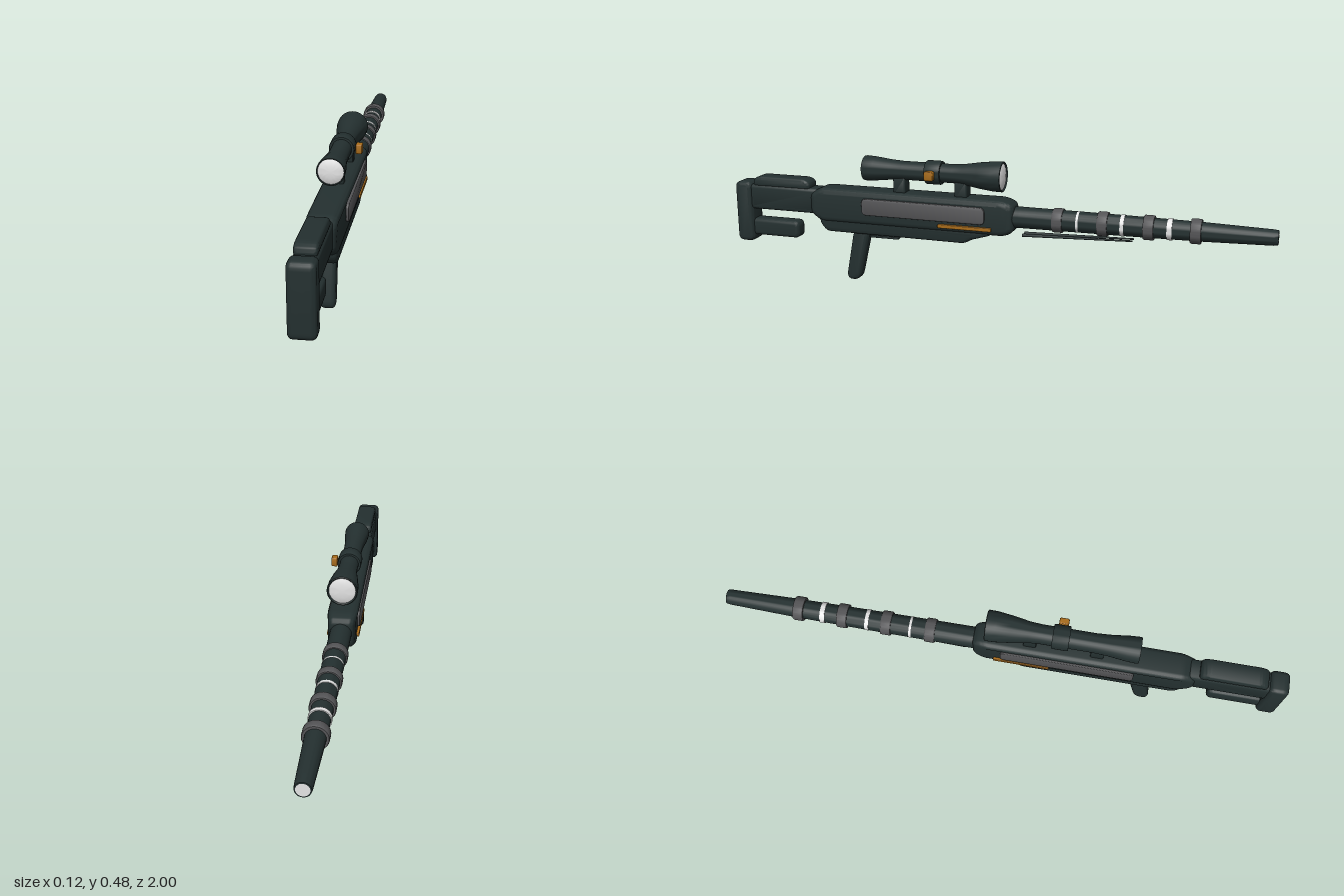
import * as THREE from 'three';
import { toCreasedNormals } from 'three/addons/utils/BufferGeometryUtils.js';

const mat = (name, color) => {
  const m = new THREE.MeshStandardMaterial({ color });
  m.name = name;
  return m;
};

export function createModel() {
  const dark = mat('dark green', 0x243030);
  const grey = mat('grey', 0x555557);
  const brass = mat('brass', 0xa86c1a);
  const white = mat('pale glass', 0xe4e4e4);

  const model = new THREE.Group();
  model.name = 'scopedRifle';
  const body = new THREE.Group();
  body.name = 'body';
  body.position.x = -0.005;
  model.add(body);

  const add = (name, geometry, material, x = 0, y = 0, z = 0) => {
    const mesh = new THREE.Mesh(geometry, material);
    mesh.name = name;
    mesh.position.set(x, y, z);
    body.add(mesh);
    return mesh;
  };

  // Side outline of [z, y] points, corners rounded by r, extruded across x with a soft bevel
  const slab = (points, halfWidth, bevel, r) => {
    const p = points.map(([z, y]) => new THREE.Vector2(z, y));
    const toward = (a, b) => a.clone().add(
      b.clone().sub(a).setLength(Math.min(r, a.distanceTo(b) * 0.48)));
    const shape = new THREE.Shape();
    p.forEach((c, i) => {
      const a = toward(c, p[(i + p.length - 1) % p.length]);
      const b = toward(c, p[(i + 1) % p.length]);
      if (i === 0) shape.moveTo(a.x, a.y); else shape.lineTo(a.x, a.y);
      shape.quadraticCurveTo(c.x, c.y, b.x, b.y);
    });
    shape.closePath();
    const depth = 2 * (halfWidth - bevel);
    const g = new THREE.ExtrudeGeometry(shape, {
      depth, curveSegments: 5, bevelThickness: bevel, bevelSize: bevel,
      bevelOffset: -bevel, bevelSegments: 4,
    });
    g.translate(0, 0, -depth / 2).rotateY(-Math.PI / 2);
    return toCreasedNormals(g, 0.6);
  };
  const rect = (z0, z1, y0, y1) => [[z0, y0], [z1, y0], [z1, y1], [z0, y1]];

  // Turned part along z, from [radius, z] points listed with z increasing
  const turned = (profile, segments = 32) => {
    const g = new THREE.LatheGeometry(
      profile.map(([r, z]) => new THREE.Vector2(r, z)), segments);
    return toCreasedNormals(g.rotateX(Math.PI / 2), 0.6);
  };

  // Stock
  add('buttPad', slab(rect(0.93, 1, 0.128, 0.36), 0.042, 0.016, 0.024), dark);
  add('stockBody', slab(rect(0.65, 0.94, 0.256, 0.352), 0.037, 0.014, 0.016), dark);
  add('cheekRest', slab([[0.69, 0.345], [0.925, 0.345], [0.925, 0.372],
    [0.9, 0.384], [0.715, 0.384], [0.69, 0.372]], 0.035, 0.012, 0.012), dark);
  add('lowerStock', slab(rect(0.745, 0.945, 0.152, 0.217), 0.03, 0.014, 0.02), dark);

  // Receiver and underside
  const receiver = slab([[0.685, 0.26], [0.64, 0.232], [-0.07, 0.232], [-0.102, 0.248],
    [-0.102, 0.345], [-0.06, 0.36], [0.64, 0.36], [0.685, 0.335]], 0.053, 0.02, 0.018);
  const pos = receiver.attributes.position;
  for (let i = 0; i < pos.count; i++) { // narrow slightly towards both ends
    const z = pos.getZ(i);
    const t = Math.max(0, (z - 0.6) / 0.085, (-0.04 - z) / 0.062);
    pos.setX(i, pos.getX(i) * (1 - 0.18 * Math.min(1, t)));
  }
  add('receiver', receiver, dark);
  add('lowerReceiver', slab([[0.65, 0.25], [0.645, 0.222], [0.62, 0.195], [0.08, 0.193],
    [0.055, 0.208], [-0.02, 0.23], [-0.02, 0.25]], 0.045, 0.014, 0.016), dark);
  for (const [side, s] of [['left', 1], ['right', -1]]) {
    add(side + 'Panel', slab(rect(0, 0.47, 0.272, 0.334), 0.005, 0.003, 0.018), grey, s * 0.0522);
    add(side + 'Strip', slab(rect(-0.025, 0.175, 0.248, 0.262), 0.005, 0.002, 0.004), brass, s * 0.0522);
  }

  // Grip and trigger guard
  add('grip', slab([[0.455, 0.21], [0.502, 0.008], [0.558, 0.008], [0.52, 0.21]],
    0.024, 0.014, 0.03), dark);
  add('triggerGuard', slab(rect(0.345, 0.46, 0.177, 0.185), 0.012, 0.002, 0.003), dark);
  add('triggerPost', new THREE.BoxGeometry(0.012, 0.02, 0.008), dark, 0, 0.188, 0.44);

  // Barrel with bands
  const barrelY = 0.297;
  add('barrel', turned([[0, -0.999], [0.025, -0.999], [0.027, -0.985], [0.033, -0.76],
    [0.036, -0.5], [0.038, -0.12], [0.038, -0.08]]), dark, 0, barrelY);
  add('muzzleFace', new THREE.CircleGeometry(0.021, 28).rotateY(Math.PI), white, 0, barrelY, -1);
  for (let i = 0; i < 4; i++) {
    const z = -0.257 - i * 0.1585;
    add('barrelBand' + (i + 1), turned([[0.03, -0.018], [0.041, -0.018], [0.043, -0.015],
      [0.043, 0.015], [0.041, 0.018], [0.03, 0.018]]), grey, 0, barrelY, z);
  }
  [[-0.328, 0.004], [-0.484, 0.0065], [-0.645, 0.0085]].forEach(([z, h], i) => {
    add('paleRing' + (i + 1), turned([[0.03, -h], [0.0375, -h], [0.0375, h], [0.03, h]]),
      white, 0, barrelY, z);
  });

  // Folded legs under the barrel
  for (const [side, s] of [['left', 1], ['right', -1]]) {
    const leg = add(side + 'FoldedLeg', new THREE.CylinderGeometry(0.003, 0.006, 0.39, 10),
      dark, s * 0.014, 0.242, -0.325);
    leg.rotation.x = -Math.PI / 2 + 0.03;
  }

  // Scope
  const scopeY = 0.438;
  add('scopeTube', turned([[0.046, -0.05], [0.051, -0.056], [0.054, -0.054], [0.053, -0.02],
    [0.047, 0.03], [0.037, 0.09], [0.034, 0.13], [0.034, 0.32], [0.037, 0.37],
    [0.044, 0.43], [0.046, 0.465], [0.045, 0.472], [0.042, 0.472], [0.041, 0.464]]),
  dark, 0, scopeY);
  add('eyepieceLens', turned([[0.042, 0.466], [0.034, 0.47], [0.02, 0.473], [0, 0.475]]),
    white, 0, scopeY);
  add('objectiveLens', turned([[0, -0.058], [0.025, -0.056], [0.042, -0.053], [0.049, -0.05]]),
    white, 0, scopeY);
  add('turretCollar', turned([[0.03, 0.173], [0.041, 0.173], [0.043, 0.177],
    [0.043, 0.227], [0.041, 0.231], [0.03, 0.231]]), dark, 0, scopeY);
  add('turretKnob', slab(rect(0.187, 0.221, 0.419, 0.453), 0.011, 0.004, 0.007), brass, 0.056);
  for (const [name, z] of [['rearMount', 0.333], ['frontMount', 0.098]]) {
    add(name, slab(rect(z - 0.023, z + 0.023, 0.35, 0.415), 0.024, 0.005, 0.005), dark);
  }
  return model;
}
